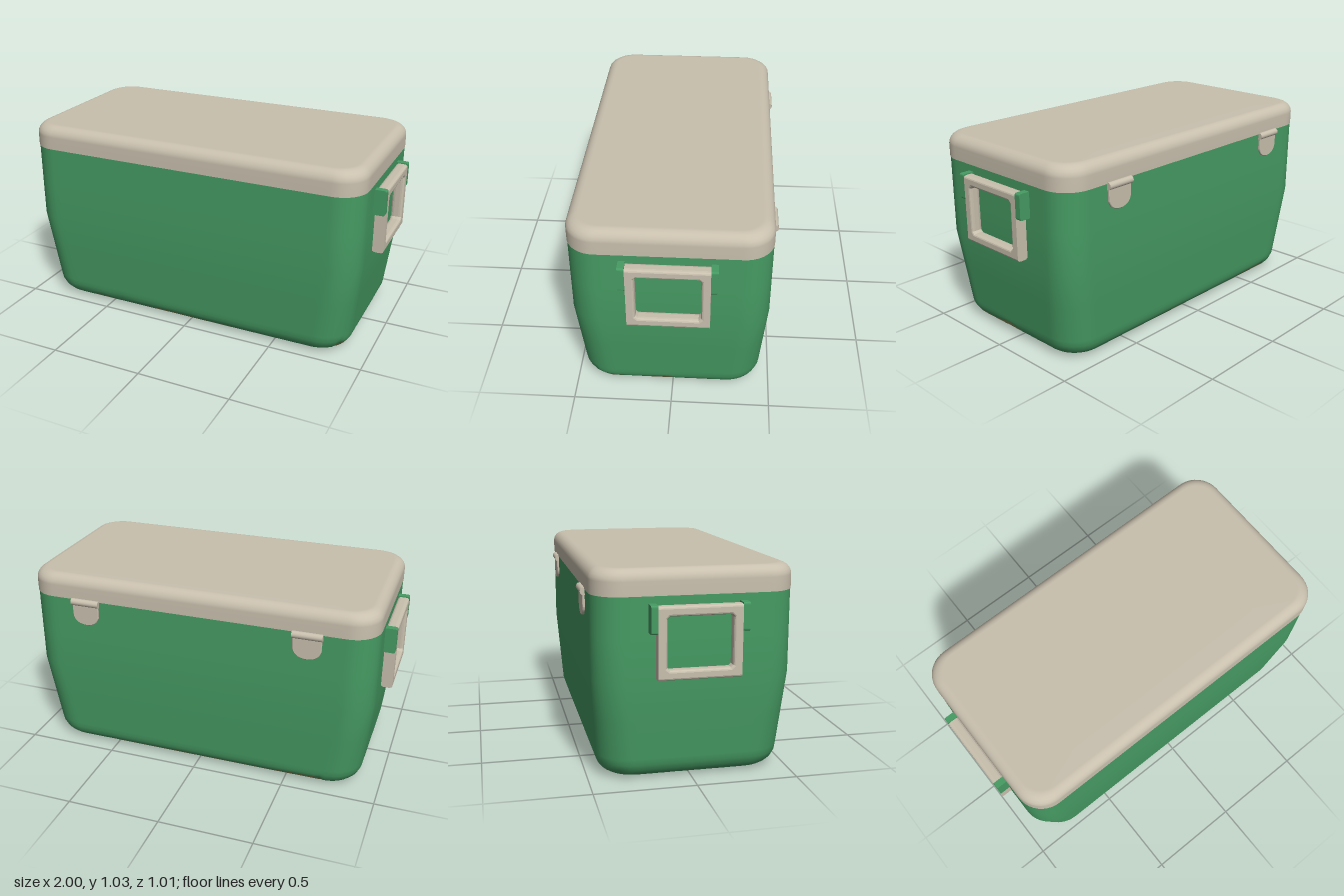
import * as THREE from 'three';

const CZ = 0.01; // the tub sits slightly forward of the hinges

// Columns around a rounded rectangle: four corners (a) joined by four sides (t)
const columns = [];
for (let k = 0; k < 4; k++) {
  for (let i = 0; i <= 10; i++) columns.push({ k, a: i / 10, t: 0 });
  const n = k % 2 ? 20 : 48;
  for (let i = 1; i < n; i++) columns.push({ k, a: 1, t: i / n });
}

function cornerPoint(k, a, { hx, hz, r }) {
  const ang = (k + a) * Math.PI / 2;
  const sx = k === 0 || k === 3 ? 1 : -1, sz = k < 2 ? 1 : -1;
  return [sx * (hx - r) + Math.cos(ang) * r, CZ - sz * (hz - r) - Math.sin(ang) * r];
}

function columnPoint(c, p) {
  const A = cornerPoint(c.k, c.a, p);
  if (!c.t) return A;
  const B = cornerPoint((c.k + 1) % 4, 0, p);
  return [A[0] + (B[0] - A[0]) * c.t, A[1] + (B[1] - A[1]) * c.t];
}

// Skin stacked rings; each ring gives { y, hx, hz, r } for a column.
// groupEnds lists the ring number at which each material stops.
function skin(rings, { bottom, top, groupEnds = [] }) {
  const pos = [], idx = [], n = columns.length, geo = new THREE.BufferGeometry();
  let start = 0;
  for (const ring of rings) {
    for (const c of columns) {
      const p = ring(c), [x, z] = columnPoint(c, p);
      pos.push(x, p.y, z);
    }
  }
  const cap = (row, y, up) => {
    const center = pos.length / 3;
    pos.push(0, y, CZ);
    for (let i = 0; i < n; i++) {
      const a = row * n + i, b = row * n + (i + 1) % n;
      idx.push(center, up ? a : b, up ? b : a);
    }
  };
  if (bottom !== undefined) cap(0, bottom, false);
  for (let j = 0; j < rings.length - 1; j++) {
    for (let i = 0; i < n; i++) {
      const a = j * n + i, b = j * n + (i + 1) % n;
      idx.push(a, b, b + n, a, b + n, a + n);
    }
    const g = groupEnds.indexOf(j + 1);
    if (g >= 0) {
      geo.addGroup(start, idx.length - start, g);
      start = idx.length;
    }
  }
  if (top !== undefined) cap(rings.length - 1, top, true);
  geo.setAttribute('position', new THREE.Float32BufferAttribute(pos, 3));
  geo.setIndex(idx);
  geo.computeVertexNormals();
  return geo;
}

// Tub outline at a height: rounded foot, tapered lower half, straight upper half
function tubAt(y) {
  const s = Math.min(1, y / 0.5);
  const f = Math.max(0, 1 - y / 0.09);
  const inset = 1 - Math.sqrt(1 - f * f);
  return {
    y,
    hx: 0.883 + 0.057 * s - 0.092 * inset,
    hz: 0.453 + 0.037 * s - 0.092 * inset,
    r: 0.165 - 0.02 * s - 0.06 * inset,
  };
}

// Ragged height of the dirt on each side: back, right, front, left
const dirt = [
  [0.018, 0.024, 0.034, 0.03, 0.038, 0.03, 0.036, 0.028, 0.036, 0.052, 0.05],
  [0.008, 0.006, 0.01, 0.005],
  [0.004, 0.022, 0.036, 0.006, 0.026, 0.03, 0.038, 0.04, 0.034, 0.028, 0.032, 0.027, 0.028, 0.02, 0.003, 0.003, 0.003],
  [0.052, 0.045, 0.048, 0.06, 0.073, 0.042, 0.032, 0.018, 0.012, 0.006],
];
function dirtHeight({ k, a, t }) {
  if (a < 1) {
    if (k === 3) return a > 0.55 ? 0.06 : 0.004;
    return k === 0 ? 0.006 + 0.012 * a : 0.005;
  }
  const h = dirt[k], u = t * (h.length - 1), i = Math.min(Math.floor(u), h.length - 2);
  const wobble = 0.002 * Math.sin(t * 47 + k);
  return Math.max(0.003, h[i] + (h[i + 1] - h[i]) * (u - i) + wobble);
}

export function createModel() {
  const green = new THREE.MeshStandardMaterial({ name: 'green', color: 0x469b63 });
  const beige = new THREE.MeshStandardMaterial({ name: 'beige', color: 0xc9c0ae });
  const olive = new THREE.MeshStandardMaterial({ name: 'dirtOlive', color: 0x88925a });

  const model = new THREE.Group();
  model.name = 'coolBox';
  const add = (parent, name, geo, mat) => {
    const mesh = new THREE.Mesh(geo, mat);
    mesh.name = name;
    parent.add(mesh);
    return mesh;
  };

  // Tub with its dirty underside
  const tubRings = [
    ...[0, 0.08, 0.25, 0.55, 1].map(f => c => tubAt(dirtHeight(c) * f)),
    ...[0.08, 0.2, 0.4, 0.7, 1].map(f => c => {
      const d = dirtHeight(c);
      return tubAt(d + (0.11 - d) * f);
    }),
    ...[0.3, 0.5, 0.7, 0.912].map(y => () => tubAt(y)),
  ];
  add(model, 'tub', skin(tubRings, { bottom: 0, groupEnds: [4, tubRings.length - 1] }), [olive, green]);

  // Lid with a rounded top edge
  const lidRings = [() => ({ y: 0.909, hx: 0.942, hz: 0.492, r: 0.145 })];
  for (let i = 0; i <= 6; i++) {
    const a = i / 6 * Math.PI / 2, inset = 0.058 * (1 - Math.cos(a));
    lidRings.push(() => ({
      y: 0.977 + 0.058 * Math.sin(a), hx: 0.942 - inset, hz: 0.492 - inset, r: 0.145 - inset * 0.6,
    }));
  }
  add(model, 'lid', skin(lidRings, { top: 1.035 }), beige);

  // Handle frame, drawn facing outward and extruded from the wall
  const frame = new THREE.Shape();
  frame.moveTo(-0.19, 0.533).lineTo(0.19, 0.533).lineTo(0.19, 0.857).lineTo(-0.19, 0.857).closePath();
  const hole = new THREE.Path();
  const hw = 0.168, y0 = 0.558, y1 = 0.832, ch = 0.018;
  hole.setFromPoints([
    [-hw + ch, y0], [-hw, y0 + ch], [-hw, y1 - ch], [-hw + ch, y1],
    [hw - ch, y1], [hw, y1 - ch], [hw, y0 + ch], [hw - ch, y0],
  ].map(([x, y]) => new THREE.Vector2(x, y)));
  hole.closePath();
  frame.holes.push(hole);
  const frameGeo = new THREE.ExtrudeGeometry(frame, {
    depth: 0.024, bevelEnabled: true, bevelThickness: 0.018, bevelSize: 0.012, bevelSegments: 3,
  });
  // Square off the two ends, leaving only the top and bottom edges rounded
  const fp = frameGeo.attributes.position;
  for (let i = 0; i < fp.count; i++) {
    if (Math.abs(fp.getX(i)) > 0.185) fp.setX(i, Math.sign(fp.getX(i)) * 0.2);
  }
  frameGeo.computeVertexNormals();
  frameGeo.translate(0, 0, 0.957);

  // Handle bracket with rounded outer corners
  const block = new THREE.Shape();
  block.moveTo(0.93, 0.741).lineTo(0.988, 0.741).quadraticCurveTo(0.999, 0.741, 0.999, 0.752);
  block.lineTo(0.999, 0.864).quadraticCurveTo(0.999, 0.875, 0.988, 0.875).lineTo(0.93, 0.875).closePath();
  const blockGeo = new THREE.ExtrudeGeometry(block, { depth: 0.034, bevelEnabled: false, curveSegments: 4 });
  blockGeo.translate(0, 0, -0.017).rotateY(-Math.PI / 2);

  for (const side of [1, -1]) {
    const handle = new THREE.Group();
    handle.name = side > 0 ? 'leftHandle' : 'rightHandle';
    handle.rotation.y = side * Math.PI / 2;
    handle.position.z = CZ;
    model.add(handle);
    add(handle, 'handleFrame', frameGeo, beige);
    for (const s of [-1, 1]) add(handle, 'handleBracket', blockGeo, green).position.x = s * 0.217;
  }

  // Hinges on the back: a leaf with a rounded lower end under a barrel
  const leaf = new THREE.Shape();
  leaf.moveTo(-0.072, 0.885).lineTo(-0.07, 0.82).quadraticCurveTo(-0.062, 0.79, -0.035, 0.78);
  leaf.quadraticCurveTo(0, 0.768, 0.035, 0.78).quadraticCurveTo(0.062, 0.79, 0.07, 0.82).lineTo(0.072, 0.885).closePath();
  const leafGeo = new THREE.ExtrudeGeometry(leaf, {
    depth: 0.014, bevelEnabled: true, bevelThickness: 0.003, bevelSize: 0.003, bevelSegments: 1,
  });
  const barrelGeo = new THREE.CylinderGeometry(0.019, 0.019, 0.156, 16).rotateZ(Math.PI / 2);
  for (const x of [-0.602, 0.602]) {
    const hinge = new THREE.Group();
    hinge.name = x > 0 ? 'leftHinge' : 'rightHinge';
    hinge.position.x = x;
    model.add(hinge);
    add(hinge, 'hingeLeaf', leafGeo, beige).position.z = -0.489;
    add(hinge, 'hingeBarrel', barrelGeo, beige).position.set(0, 0.897, -0.485);
  }
  return model;
}
